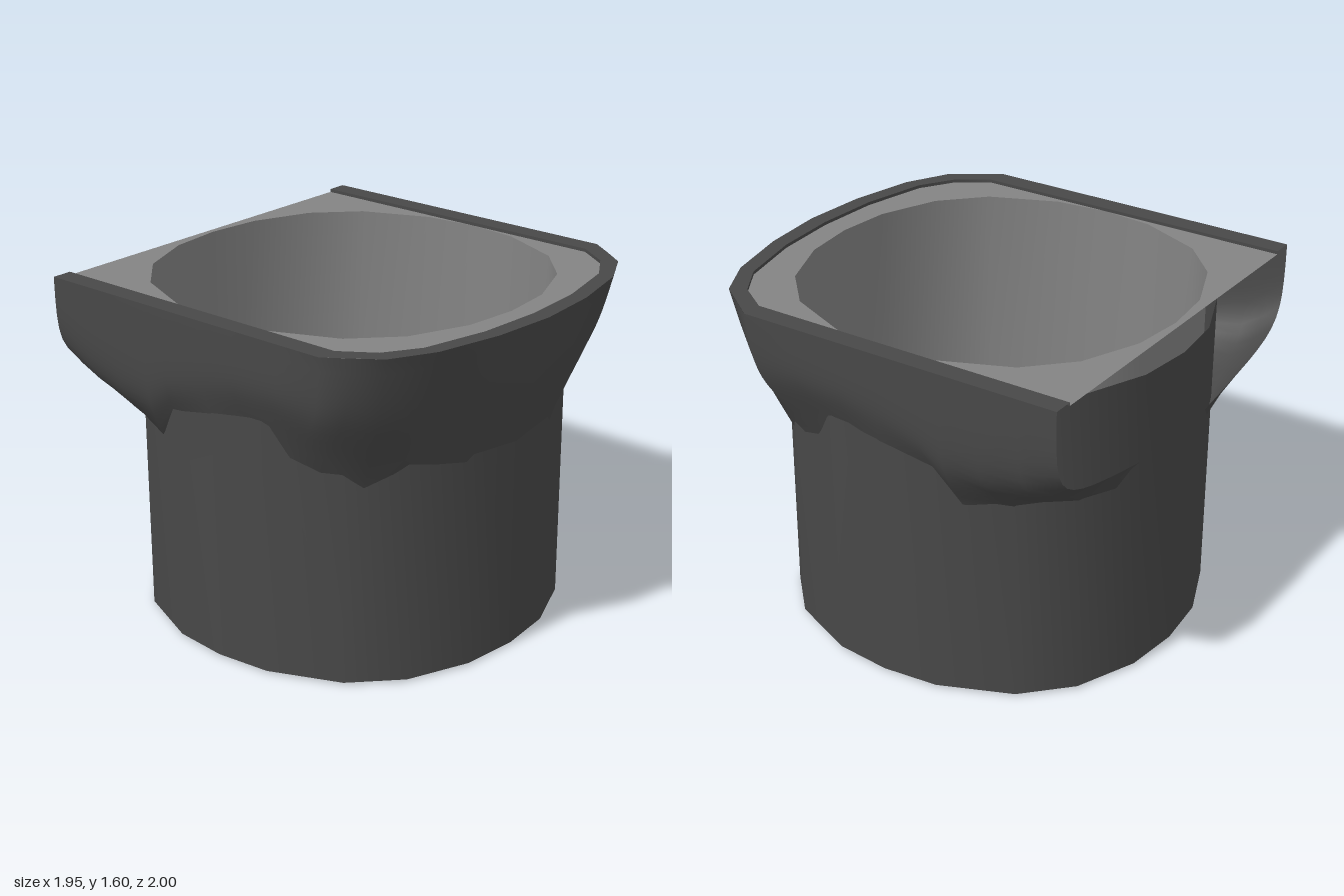
import * as THREE from 'three';

const CZ = -0.0725, R_OUT = 0.9275, R_IN = 0.88;
const PLATE_Y = 1.585, TOP_Y = 1.6;

// Mirrors a list running from the front centre to the back corner
const mirror = (half) => [
  ...half.slice(1).reverse().map(([x, ...rest]) => [-x, ...rest]),
  ...half,
];

// Point on the slightly squared round section, angle measured from the front
const roundPoint = (deg, radius) => {
  const a = THREE.MathUtils.degToRad(deg);
  const r = radius * (1 + 0.04 * Math.sin(2 * a) ** 2);
  return [r * Math.sin(a), CZ + r * Math.cos(a)];
};
const quarter = [0, 16.7, 35.6, 52.3, 73.8, 90];
const halfTurn = [...quarter, ...quarter.slice(0, -1).reverse().map((a) => 180 - a)];
const round = (radius) => mirror(halfTurn.map((a) => [a])).slice(1).map(([a]) => roundPoint(a, radius));

// Skin over columns of points, each running from top to bottom
function loft(columns, closed) {
  const n = columns.length, rows = columns[0].length, index = [];
  for (let i = 0; i < (closed ? n : n - 1); i++) {
    for (let j = 0; j < rows - 1; j++) {
      const p = i * rows + j, q = ((i + 1) % n) * rows + j;
      index.push(p, p + 1, q + 1, p, q + 1, q);
    }
  }
  const geometry = new THREE.BufferGeometry().setFromPoints(columns.flat());
  geometry.setIndex(index);
  geometry.computeVertexNormals();
  return geometry;
}
const wall = (outline, top, bottom, closed) => loft(outline.map(([x, z]) => [
  new THREE.Vector3(x, top, z), new THREE.Vector3(x, bottom, z),
]), closed);

export function createModel() {
  const dark = new THREE.MeshStandardMaterial({ color: 0x484848, side: THREE.DoubleSide });
  dark.name = 'dark grey';
  const light = new THREE.MeshStandardMaterial({ color: 0x848484, side: THREE.DoubleSide });
  light.name = 'light grey';
  const lightTop = new THREE.MeshStandardMaterial({ color: 0x848484 });
  lightTop.name = 'light grey one-sided';

  const model = new THREE.Group();
  model.name = 'flaredTube';
  const add = (name, geometry, material) => {
    const mesh = new THREE.Mesh(geometry, material);
    mesh.name = name;
    model.add(mesh);
  };

  // Two thin walls with an open gap between them
  add('outerWall', wall(round(R_OUT), 1.46, 0.01, true), dark);
  add('innerLiner', wall(round(R_IN), PLATE_Y, 0, true), light);

  // U-shaped rim: flat top and a shallow inner step
  const outer = mirror([[0, 1], [0.31, 0.975], [0.62, 0.905], [0.82, 0.8], [0.975, 0.58], [0.975, -0.98]]);
  const inner = mirror([[0, 0.92], [0.31, 0.9], [0.62, 0.83], [0.78, 0.73], [0.88, 0.58], [0.88, -0.98]]);
  const toVectors = (pts) => pts.map(([x, z]) => new THREE.Vector2(x, -z));
  const flat = (shape, y) => new THREE.ShapeGeometry(shape).rotateX(-Math.PI / 2).translate(0, y, 0);
  add('rimTop', flat(new THREE.Shape(toVectors([...outer, ...inner.slice().reverse()])), TOP_Y), dark);
  add('rimStep', wall(inner, TOP_Y, PLATE_Y, false), dark);

  // Top plate with the round opening
  const plate = new THREE.Shape(toVectors(inner));
  plate.holes.push(new THREE.Path(toVectors(round(R_IN))));
  add('topPlate', flat(plate, PLATE_Y), lightTop);

  // Flared collar: each column bends from the rim down to the tube
  // [rim x, rim z, tube angle from front, foot height, bend height, bend inset]
  const columns = mirror([
    [0, 1, 0, 0.95, 1.3, 0.4],
    [0.31, 0.975, 19, 0.96, 1.3, 0.4],
    [0.62, 0.905, 38, 0.99, 1.3, 0.4],
    [0.82, 0.8, 47, 0.93, 1.28, 0.3],
    [0.9, 0.69, 58, 1.0, 1.3, 0.2],
    [0.975, 0.58, 66, 1.05, 1.3, 0.1],
    [0.975, 0.35, 72, 1.17, 1.35, 0],
    [0.975, 0.1, 80, 1.18, 1.35, 0],
    [0.975, -0.1, 90, 1.13, 1.32, 0],
    [0.975, -0.3, 107, 1.09, 1.24, 0],
    [0.975, -0.42, 114, 0.95, 1.16, 0],
    [0.975, -0.6, 128, 0.95, 1.13, 0],
    [0.975, -0.8, 145, 0.95, 1.14, 0],
    [0.975, -0.9, 155, 0.96, 1.16, 0],
    [0.975, -0.98, 165, 1.04, 1.18, 0],
  ]);
  const collar = columns.map(([x, z, deg, footY, bendY, inset]) => {
    const [fx, fz] = roundPoint(deg, R_OUT * 0.985);
    const top = new THREE.Vector3(x, TOP_Y, z);
    const foot = new THREE.Vector3(x < 0 ? -fx : fx, footY, fz);
    const bend = top.clone().lerp(foot, inset).setY(bendY);
    return new THREE.CubicBezierCurve3(top, bend, bend, foot).getPoints(12);
  });
  add('flaredCollar', loft(collar, false), dark);

  return model;
}
